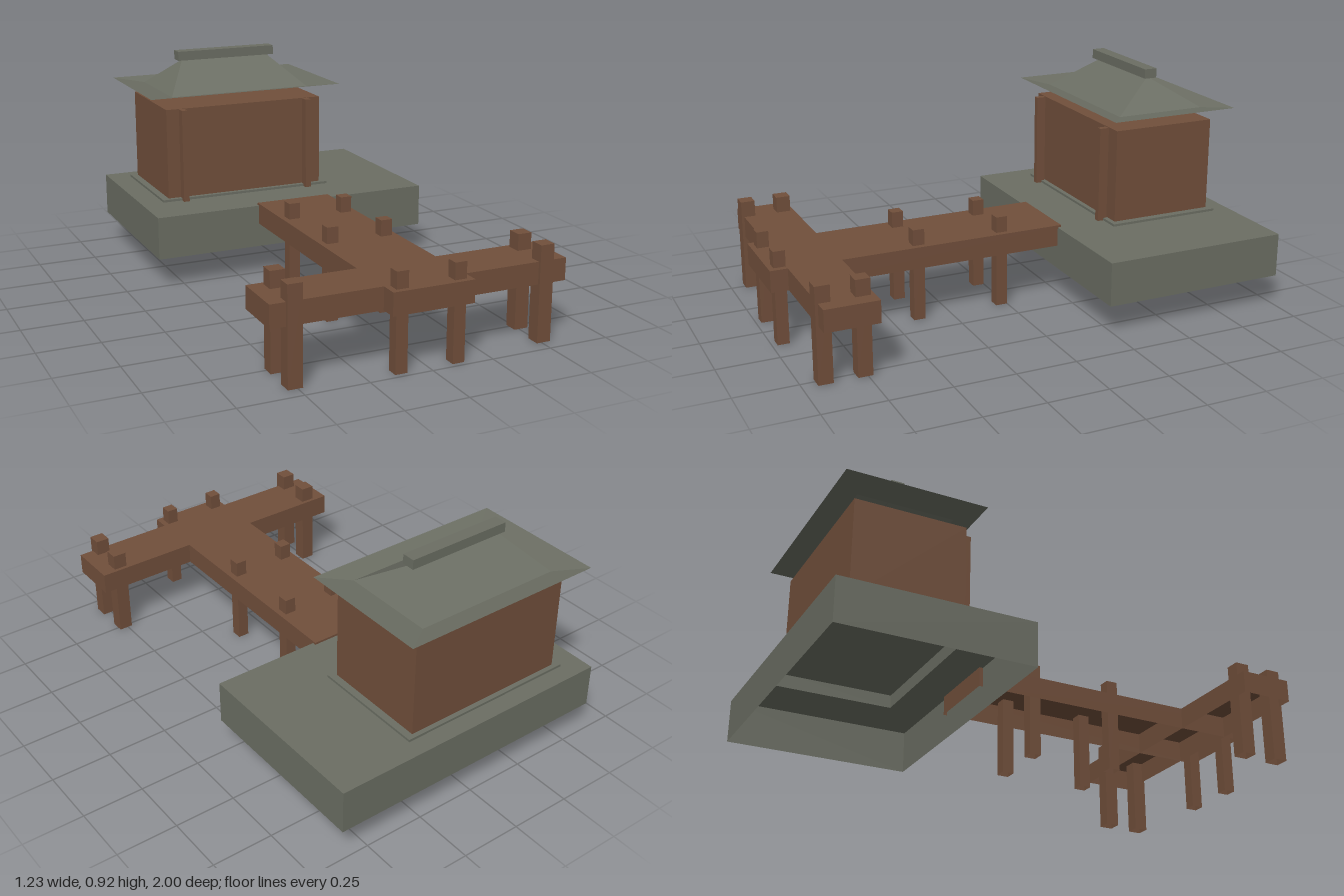
import * as THREE from 'three';

const wood = new THREE.MeshStandardMaterial({ color: 0x714f3b, side: THREE.DoubleSide, flatShading: true });
wood.name = 'brown wood';
const stone = new THREE.MeshStandardMaterial({ color: 0x6b6e63, side: THREE.DoubleSide, flatShading: true });
stone.name = 'grey stone';

// Box given by its limits, open underneath
function openBox(name, material, [x0, x1], [y0, y1], [z0, z1]) {
  const geo = new THREE.BoxGeometry(x1 - x0, y1 - y0, z1 - z0);
  const index = Array.from(geo.index.array);
  index.splice(18, 6); // drop the bottom face
  geo.setIndex(index);
  geo.clearGroups();
  geo.translate((x0 + x1) / 2, (y0 + y1) / 2, (z0 + z1) / 2);
  const mesh = new THREE.Mesh(geo, material);
  mesh.name = name;
  return mesh;
}

// Surface through a stack of rectangles [halfWidth, halfDepth, height]
function rectangleLoft(rings) {
  const pos = [], index = [];
  rings.forEach(([w, d, y], r) => {
    pos.push(-w, y, d, w, y, d, w, y, -d, -w, y, -d);
    if (r === 0) return;
    for (let i = 0; i < 4; i++) {
      const a = (r - 1) * 4 + i, b = (r - 1) * 4 + (i + 1) % 4;
      index.push(a, b, b + 4, a, b + 4, a + 4);
    }
  });
  const geo = new THREE.BufferGeometry();
  geo.setAttribute('position', new THREE.Float32BufferAttribute(pos, 3));
  geo.setIndex(index);
  const flat = geo.toNonIndexed();
  flat.computeVertexNormals();
  return flat;
}

export function createModel() {
  const model = new THREE.Group();
  model.name = 'lakeside pavilion';

  // Stone base and plinth
  model.add(openBox('platform', stone, [-0.615, 0.615], [0.13, 0.31], [-1, -0.22]));
  model.add(openBox('plinth', stone, [-0.52, 0.255], [0.255, 0.32], [-0.925, -0.435]));

  // House with two front pillars
  const house = new THREE.Group();
  house.name = 'house';
  house.add(openBox('walls', wood, [-0.49, 0.225], [0.31, 0.71], [-0.905, -0.455]));
  for (const x of [-0.435, 0.14])
    house.add(openBox('pillar', wood, [x, x + 0.025], [0.31, 0.71], [-0.45, -0.41]));
  model.add(house);

  // Hipped roof with upturned eaves and a ridge beam
  const roof = new THREE.Group();
  roof.name = 'roof';
  const shell = new THREE.Mesh(rectangleLoft([
    [0.435, 0.283, 0.77],
    [0.315, 0.195, 0.755],
    [0.2, 0.002, 0.88],
  ]), stone);
  shell.name = 'roofShell';
  shell.position.set(-0.135, 0, -0.687);
  roof.add(shell);
  roof.add(openBox('ridgeBeam', stone, [-0.36, 0.09], [0.88, 0.92], [-0.715, -0.66]));
  model.add(roof);

  // T-shaped dock
  const dock = new THREE.Group();
  dock.name = 'dock';
  dock.add(openBox('walkway', wood, [-0.165, 0.165], [0.23, 0.319], [-0.235, 1]));
  dock.add(openBox('crossDeck', wood, [-0.6, 0.6], [0.23, 0.319], [0.715, 0.93]));
  for (const side of [-1, 1]) {
    for (const z of [0.025, 0.388, 0.955]) {
      const x = side * 0.117;
      dock.add(openBox('walkwayPost', wood, [x - 0.024, x + 0.024], [0, 0.385], [z - 0.024, z + 0.024]));
    }
    for (const z of [0.76, 0.912]) {
      const x = side * 0.509;
      dock.add(openBox('crossPost', wood, [x - 0.029, x + 0.029], [0, 0.385], [z - 0.029, z + 0.029]));
    }
  }
  model.add(dock);

  return model;
}
